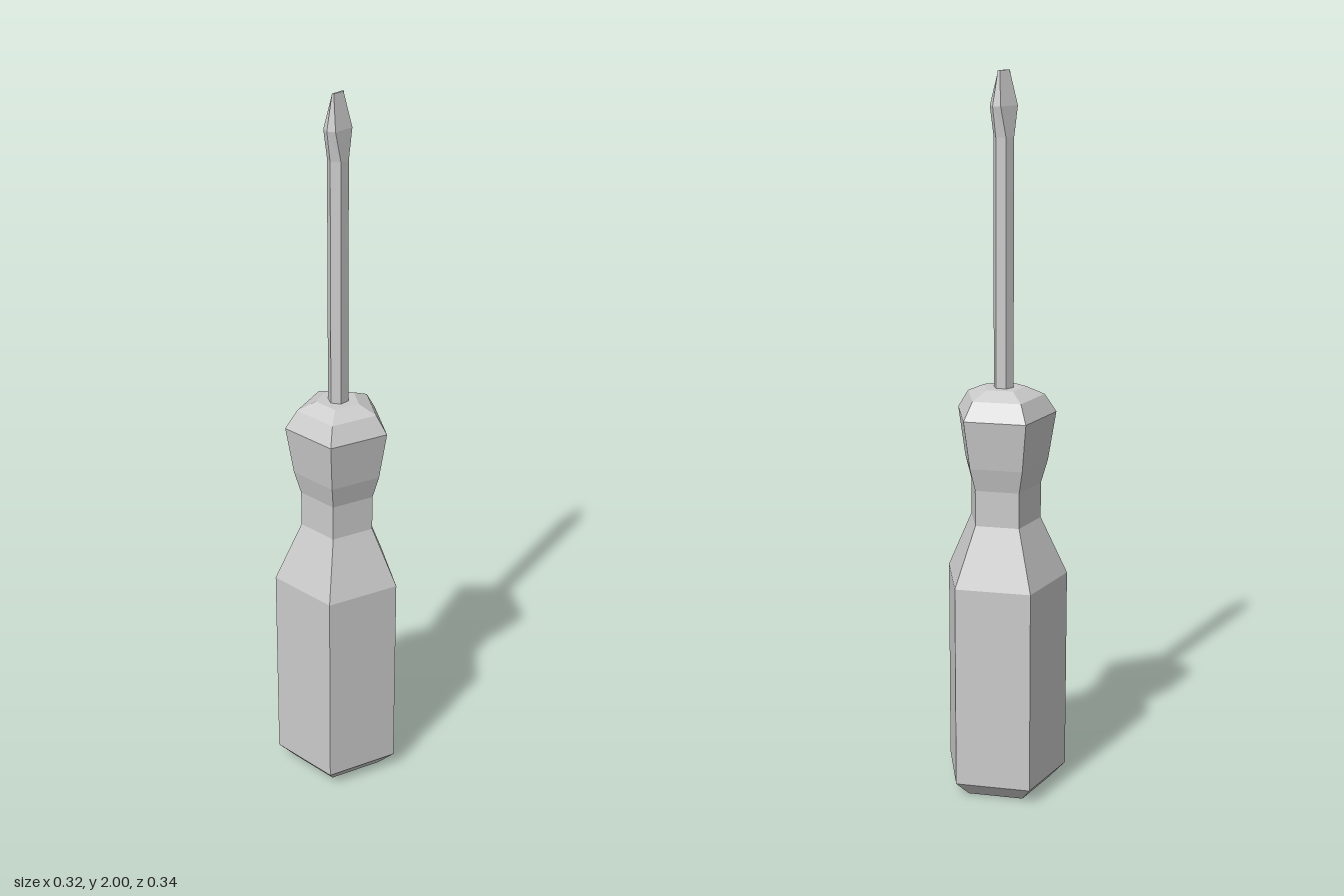
import * as THREE from 'three';

// Flat-faced solid through a stack of rings (each a list of [x, y, z]), capped at both ends
function loft(rings) {
  const pos = [];
  const tri = (a, b, c) => pos.push(...a, ...b, ...c);
  const n = rings[0].length;
  for (let r = 0; r < rings.length - 1; r++) {
    const lo = rings[r], hi = rings[r + 1];
    for (let i = 0; i < n; i++) {
      const j = (i + 1) % n;
      tri(lo[i], hi[i], hi[j]);
      tri(lo[i], hi[j], lo[j]);
    }
  }
  const bottom = rings[0], top = rings[rings.length - 1];
  for (let i = 1; i < n - 1; i++) {
    tri(bottom[0], bottom[i], bottom[i + 1]);
    tri(top[0], top[i + 1], top[i]);
  }
  const geometry = new THREE.BufferGeometry();
  geometry.setAttribute('position', new THREE.Float32BufferAttribute(pos, 3));
  geometry.computeVertexNormals();
  return geometry;
}

// Regular polygon with one corner towards +x
function polygonRing(sides, radius, y) {
  return Array.from({ length: sides }, (_, i) => {
    const a = (i / sides) * Math.PI * 2;
    return [radius * Math.cos(a), y, radius * Math.sin(a)];
  });
}

// Hexagon with outer half width w, flat-side half width f and half depth d
function bladeRing(w, f, d, y) {
  return [[w, 0], [f, d], [-f, d], [-w, 0], [-f, -d], [f, -d]].map(([x, z]) => [x, y, z]);
}

export function createModel() {
  const group = new THREE.Group();
  group.name = 'screwdriver';
  const material = new THREE.MeshStandardMaterial({ color: 0xcccccc, flatShading: true });
  const add = (name, geometry) => {
    const mesh = new THREE.Mesh(geometry, material);
    mesh.name = name;
    mesh.position.x = -0.018; // centres the pentagon's bounds on x = 0
    group.add(mesh);
  };

  // Five-sided handle: chamfered butt, grip, waist, collar and domed shoulder
  const handleProfile = [
    [0.131, 0], [0.178, 0.045], [0.178, 0.625], [0.103, 0.79], [0.103, 0.89],
    [0.122, 0.955], [0.144, 1.09], [0.112, 1.14], [0.061, 1.163],
  ];
  add('handle', loft(handleProfile.map(([r, y]) => polygonRing(5, r, y))));

  // Hexagonal shaft
  add('shaft', loft([polygonRing(6, 0.028, 1.15), polygonRing(6, 0.028, 1.83)]));

  // Flared blade narrowing to a thin straight edge
  add('blade', loft([
    polygonRing(6, 0.028, 1.83),
    bladeRing(0.039, 0.03, 0.021, 1.91),
    bladeRing(0.021, 0.017, 0.003, 2),
  ]));

  return group;
}
